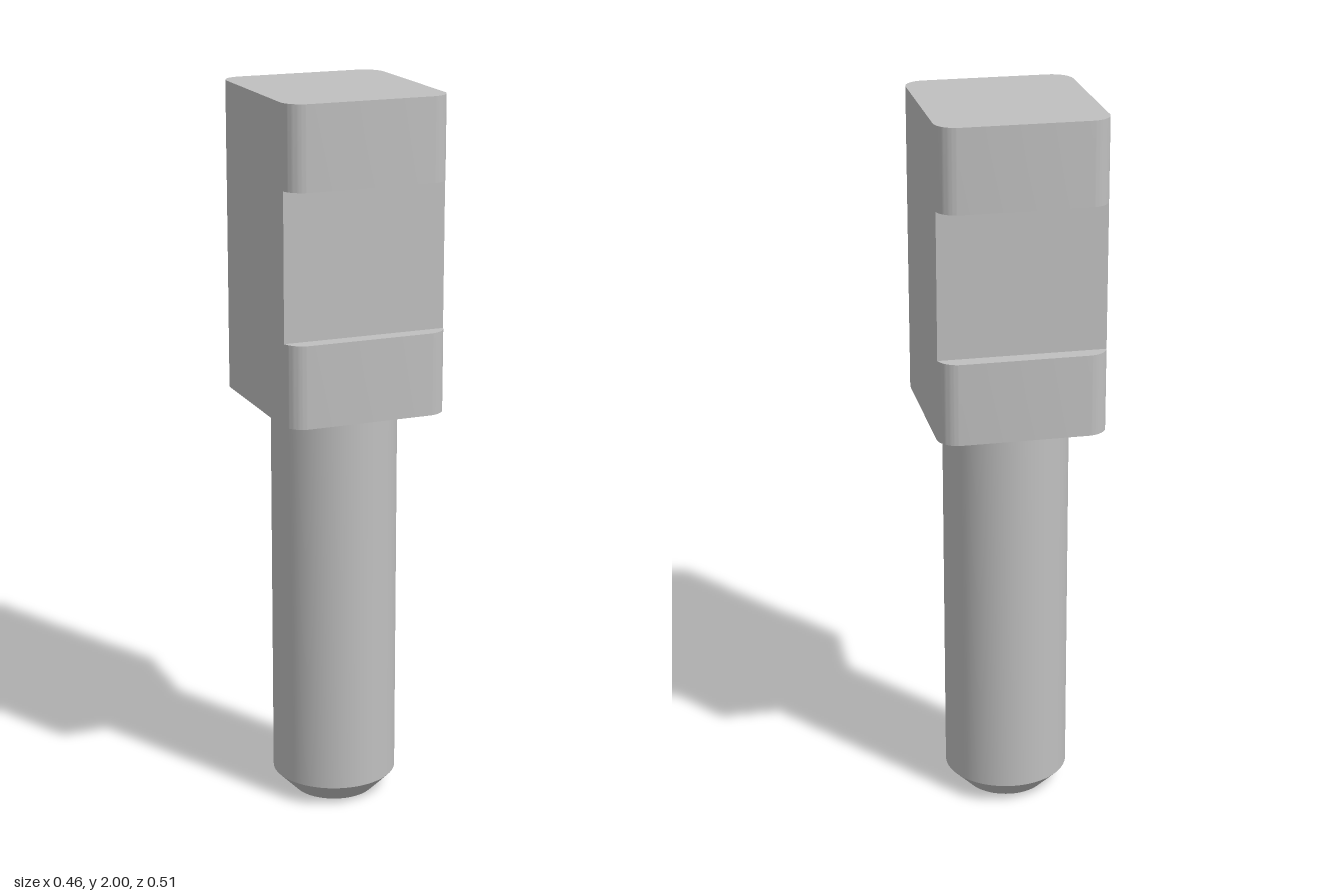
import * as THREE from 'three';
import { toCreasedNormals } from 'three/addons/utils/BufferGeometryUtils.js';

const HALF_X = 0.228, HALF_Z = 0.257, RADIUS = 0.058;

// Rounded rectangle, optionally cut flat at a smaller half depth
function outline(halfDepth) {
  const cx = HALF_X - RADIUS, cz = HALF_Z - RADIUS;
  const a = Math.asin(Math.min(1, (halfDepth - cz) / RADIUS));
  const shape = new THREE.Shape();
  shape.absarc(cx, cz, RADIUS, 0, a);
  shape.absarc(-cx, cz, RADIUS, Math.PI - a, Math.PI);
  shape.absarc(-cx, -cz, RADIUS, Math.PI, Math.PI + a);
  shape.absarc(cx, -cz, RADIUS, 2 * Math.PI - a, 2 * Math.PI);
  return shape;
}

function block(name, halfDepth, y0, y1, material) {
  const geometry = new THREE.ExtrudeGeometry(outline(halfDepth), {
    depth: y1 - y0, bevelEnabled: false, curveSegments: 12,
  });
  geometry.rotateX(-Math.PI / 2).translate(0, y0, 0);
  const mesh = new THREE.Mesh(toCreasedNormals(geometry, 0.5), material);
  mesh.name = name;
  return mesh;
}

export function createModel() {
  const model = new THREE.Group();
  model.name = 'notchedPin';
  const steel = new THREE.MeshStandardMaterial({ color: 0xc0c0c0 });
  steel.name = 'steel grey';

  // Head with a notch across its front and back
  model.add(
    block('headBottom', HALF_Z, 1.15, 1.375, steel),
    block('headNotch', 0.214, 1.375, 1.775, steel),
    block('headTop', HALF_Z, 1.775, 2, steel),
  );

  // Round shaft with a chamfered tip and a blind hole in its end
  const profile = [
    [0, 0.09], [0.09, 0.09], [0.09, 0], [0.114, 0], [0.173, 0.06], [0.173, 1.15],
  ].map(([r, y]) => new THREE.Vector2(r, y));
  const shaft = new THREE.Mesh(
    toCreasedNormals(new THREE.LatheGeometry(profile, 64), 0.5), steel);
  shaft.name = 'shaft';
  model.add(shaft);

  return model;
}
